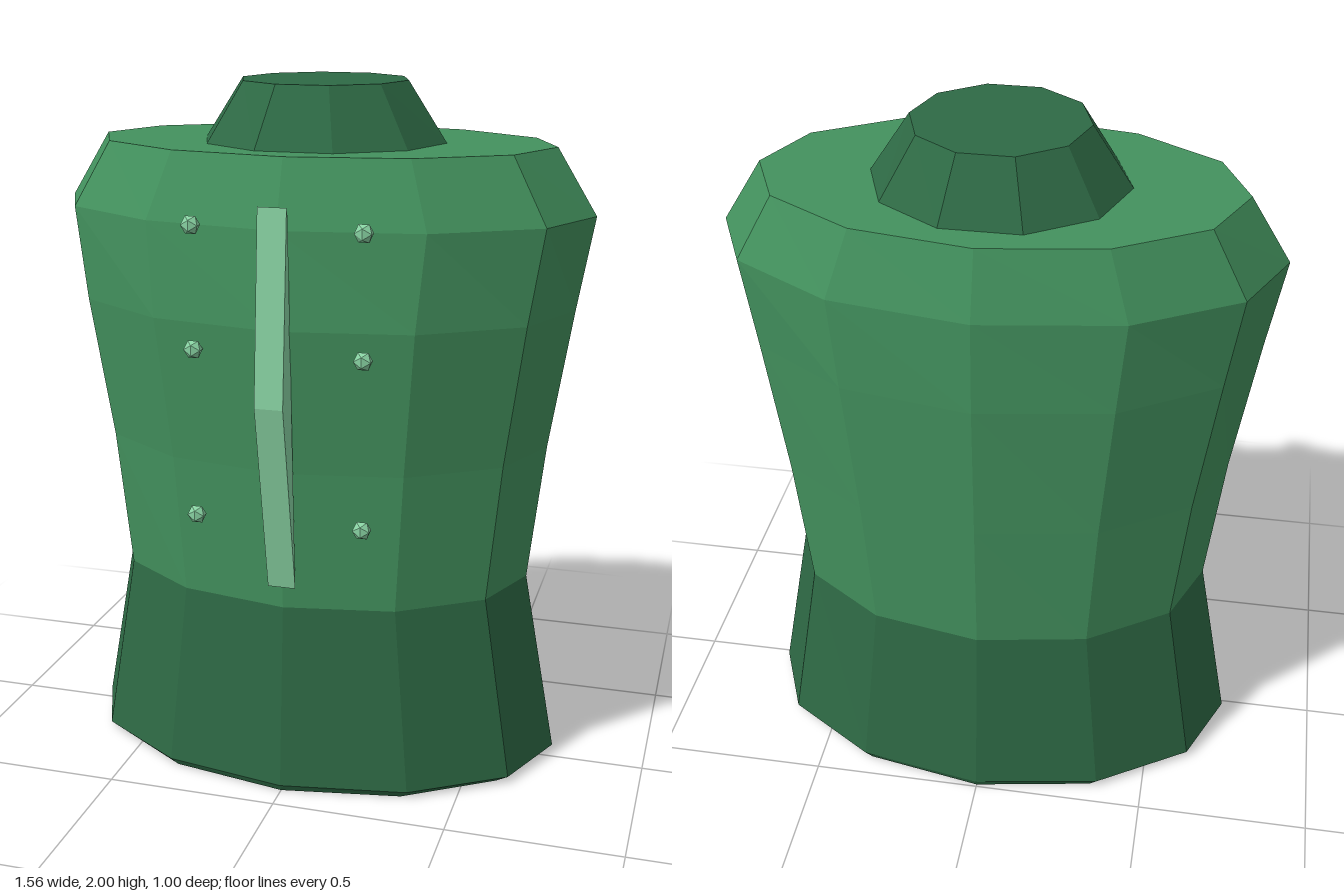
import * as THREE from 'three';

const material = (name, color) => {
  const m = new THREE.MeshStandardMaterial({ color, flatShading: true });
  m.name = name;
  return m;
};

// Faceted loft through elliptical rings [y, half width, front z, back z], listed upwards
function loft(rings, sides, capBottom, capTop) {
  const pos = [];
  const point = ([y, rx, front, back], i) => {
    const a = (i % sides) / sides * Math.PI * 2;
    return [rx * Math.cos(a), y, (front + back) / 2 + (front - back) / 2 * Math.sin(a)];
  };
  const centre = ([y, , front, back]) => [0, y, (front + back) / 2];
  const tri = (...corners) => corners.forEach((c) => pos.push(...c));
  for (let i = 0; i < sides; i++) {
    for (let r = 0; r < rings.length - 1; r++) {
      const a = point(rings[r], i), b = point(rings[r + 1], i);
      const c = point(rings[r + 1], i + 1), d = point(rings[r], i + 1);
      tri(a, b, c);
      tri(a, c, d);
    }
    const low = rings[0], high = rings[rings.length - 1];
    if (capBottom) tri(centre(low), point(low, i), point(low, i + 1));
    if (capTop) tri(centre(high), point(high, i + 1), point(high, i));
  }
  const g = new THREE.BufferGeometry();
  g.setAttribute('position', new THREE.Float32BufferAttribute(pos, 3));
  g.computeVertexNormals();
  return g;
}

export function createModel() {
  const model = new THREE.Group();
  model.name = 'jacketTorso';
  const green = material('green', 0x43925e);
  const darkGreen = material('dark green', 0x2e6a45);
  const paleGreen = material('pale green', 0x88d2a2);
  const add = (name, geometry, mat) => {
    const mesh = new THREE.Mesh(geometry, mat);
    mesh.name = name;
    model.add(mesh);
    return mesh;
  };

  // Flared skirt, with a thin turned-in hem
  const waist = [0.565, 0.625, 0.39, -0.46];
  add('skirt', loft([
    [0, 0.685, 0.42, -0.492],
    [0.02, 0.725, 0.43, -0.5],
    waist,
  ], 12, true, false), darkGreen);

  // Chest widening to sloped shoulders
  add('chest', loft([
    waist,
    [0.97, 0.67, 0.41, -0.48],
    [1.38, 0.735, 0.45, -0.5],
    [1.645, 0.78, 0.427, -0.497],
    [1.83, 0.665, 0.363, -0.441],
  ], 12, false, true), green);

  // Tapered ten-sided collar
  add('collar', loft([
    [1.83, 0.355, 0.286, -0.366],
    [2, 0.243, 0.197, -0.277],
  ], 10, false, true), darkGreen);

  // Bent front strip: side profile extruded across x
  const profile = new THREE.Shape([
    new THREE.Vector2(0.4, 0.63), new THREE.Vector2(0.505, 1.18),
    new THREE.Vector2(0.46, 1.712), new THREE.Vector2(0.452, 1.69),
  ]);
  const strip = new THREE.ExtrudeGeometry(profile, { depth: 0.08, bevelEnabled: false });
  strip.rotateY(-Math.PI / 2).translate(0.04, 0, 0);
  add('frontStrip', strip, paleGreen);

  // Two columns of faceted buttons
  for (const y of [1.65, 1.31, 0.835]) {
    for (const side of [-1, 1]) {
      const button = add(side > 0 ? 'leftButton' : 'rightButton',
        new THREE.IcosahedronGeometry(0.028, 0), paleGreen);
      button.position.set(side * 0.238, y, 0.427);
      button.scale.z = 0.8;
    }
  }
  return model;
}
